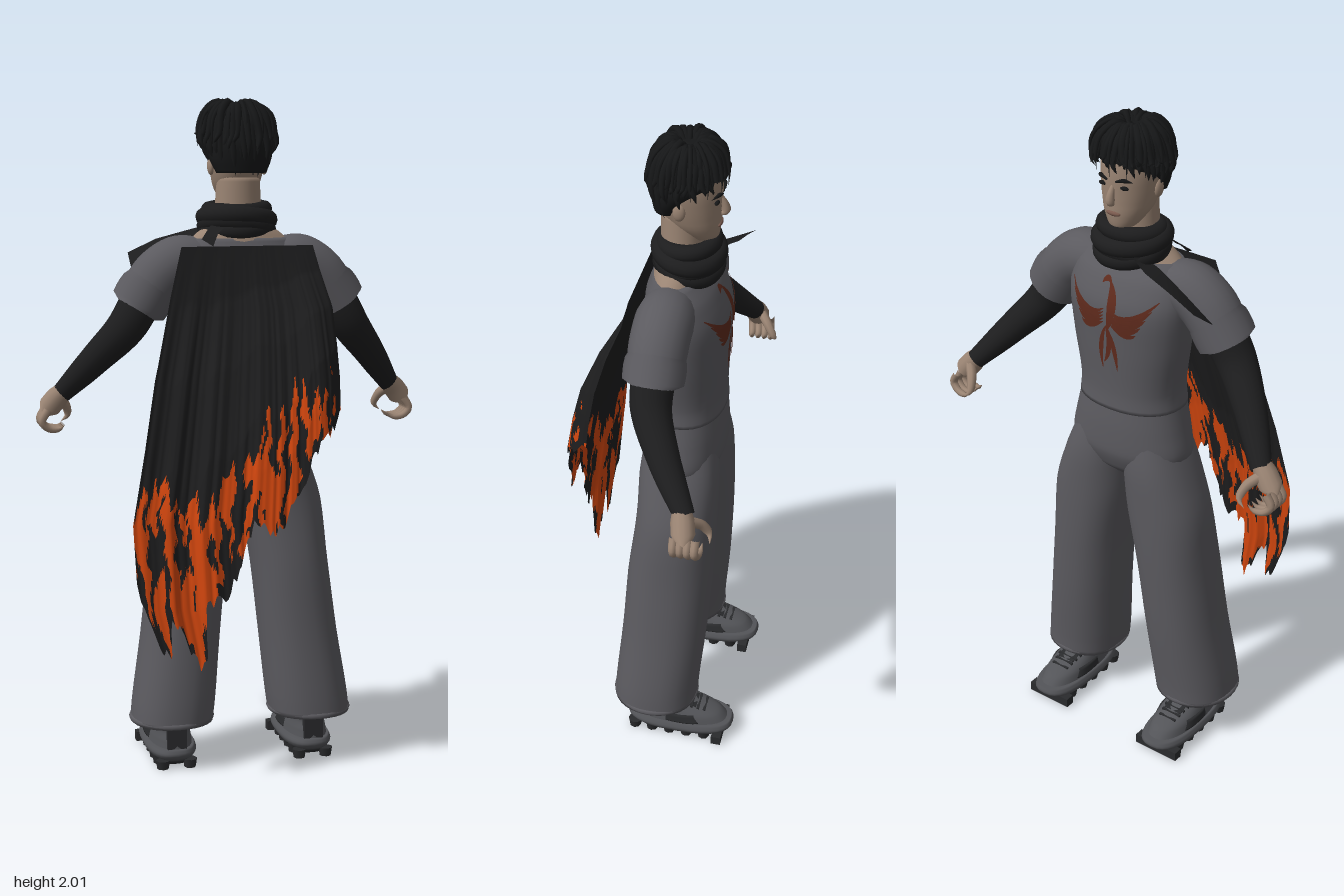
import * as THREE from 'three';

const V = (x, y, z) => new THREE.Vector3(x, y, z);
const lerp = THREE.MathUtils.lerp;
const mat = (name, color, side = THREE.FrontSide) => {
  const m = new THREE.MeshStandardMaterial({ color, side });
  m.name = name;
  return m;
};

function buildGeometry(pos, idx) {
  const g = new THREE.BufferGeometry();
  g.setAttribute('position', new THREE.Float32BufferAttribute(pos, 3));
  g.setIndex(idx);
  g.computeVertexNormals();
  return g;
}

// Closed body through elliptical sections [y, cx, cz, rx, rz], bottom to top; p < 1 squares the outline
function loft(sections, p = 1, rows = 24, seg = 32) {
  const centre = new THREE.CatmullRomCurve3(sections.map(s => V(s[1], s[0], s[2])));
  const radius = new THREE.CatmullRomCurve3(sections.map(s => V(s[3], s[4], 0)));
  const pos = [], idx = [], pw = v => Math.sign(v) * Math.abs(v) ** p;
  for (let i = -1; i <= rows + 1; i++) {
    const t = Math.min(1, Math.max(0, i / rows)), k = i < 0 || i > rows ? 0 : 1;
    const c = centre.getPoint(t), r = radius.getPoint(t);
    for (let j = 0; j < seg; j++) {
      const a = j / seg * Math.PI * 2;
      pos.push(c.x + k * r.x * pw(Math.cos(a)), c.y, c.z + k * r.y * pw(Math.sin(a)));
      if (i <= rows) {
        const o = (i + 1) * seg, q = o + (j + 1) % seg;
        idx.push(o + j, o + seg + j, q, q, o + seg + j, q + seg);
      }
    }
  }
  return buildGeometry(pos, idx);
}

// Tube along a curve whose radius follows a short list
function limb(points, radii, steps = 16, seg = 14) {
  const path = new THREE.CatmullRomCurve3(points.map(p => V(...p)));
  const g = new THREE.TubeGeometry(path, steps, 1, seg), pos = g.attributes.position;
  for (let i = 0; i <= steps; i++) {
    const f = i / steps * (radii.length - 1), k = Math.min(radii.length - 2, Math.floor(f));
    const r = lerp(radii[k], radii[k + 1], f - k), c = path.getPointAt(i / steps);
    for (let j = 0; j <= seg; j++) {
      const n = i * (seg + 1) + j, v = V().fromBufferAttribute(pos, n).sub(c).multiplyScalar(r).add(c);
      pos.setXYZ(n, v.x, v.y, v.z);
    }
  }
  return g;
}

// Thin sheet between two edges
function strip(a, b) {
  const pos = [], idx = [];
  a.forEach((p, i) => {
    pos.push(...p, ...b[i]);
    if (i) idx.push(2 * i - 2, 2 * i - 1, 2 * i, 2 * i, 2 * i - 1, 2 * i + 1);
  });
  return buildGeometry(pos, idx);
}

const hash = (x, y) => { const s = Math.sin(x * 127.1 + y * 311.7) * 43758.5453; return s - Math.floor(s); };
function noise(x, y) {
  const i = Math.floor(x), j = Math.floor(y), u = x - i, v = y - j;
  return lerp(lerp(hash(i, j), hash(i + 1, j), u), lerp(hash(i, j + 1), hash(i + 1, j + 1), u), v);
}
// Piecewise linear lookup in [x, value] pairs
function look(table, x) {
  let i = 1;
  while (i < table.length - 1 && x > table[i][0]) i++;
  const [a, b] = [table[i - 1], table[i]];
  return lerp(a[1], b[1], Math.min(1, Math.max(0, (x - a[0]) / (b[0] - a[0]))));
}

// Swept cape with a torn hem; streaky cells above the hem take the flame colour
function capeGeometry() {
  const left = [[0.4, -0.33], [0.55, -0.365], [0.8, -0.375], [1.2, -0.295], [1.58, -0.195]];
  const right = [[1.2, 0.255], [1.4, 0.245], [1.58, 0.2]];
  const hem = [[-0.375, 0.62], [-0.335, 0.44], [-0.31, 0.41], [-0.285, 0.52], [-0.225, 0.38], [-0.2, 0.39],
    [-0.18, 0.55], [-0.115, 0.58], [-0.075, 0.65], [-0.05, 0.77], [0, 0.8], [0.025, 0.74], [0.08, 0.83],
    [0.13, 0.92], [0.15, 1.0], [0.2, 1.03], [0.255, 1.12]];
  const flameTop = [[-0.375, 0.89], [-0.25, 0.87], [-0.17, 0.83], [-0.1, 0.96], [0, 1.08], [0.1, 1.16], [0.255, 1.19]];
  const sweep = [[0, 0], [0.15, 0.13], [0.35, 0.46], [0.6, 0.76], [0.8, 0.9], [1, 1]];
  const nu = 140, nv = 80, pos = [], plain = [], flame = [];
  for (let i = 0; i <= nu; i++) {
    const u = i / nu, x0 = lerp(-0.375, 0.255, u);
    const end = look(hem, x0) + 0.05 * (noise(u * 70, 3) - 0.35);
    const top = look(flameTop, x0) + 0.15 * (noise(u * 44, 8) - 0.5);
    const reach = 0.222 - (u < 0.5 ? 0.045 : 0.11) * Math.abs(2 * u - 1) ** 4 + 0.012 * (noise(u * 50, 5) - 0.5);
    for (let j = 0; j <= nv; j++) {
      const v = j / nv, y = lerp(1.58, end, v);
      pos.push(lerp(look(left, y), look(right, y), u), y,
        0.052 + reach * look(sweep, v) + 0.005 * Math.sin(u * 22) * v);
      if (i < nu && j < nv) {
        const a = i * (nv + 1) + j, b = a + nv + 1;
        const streak = noise(u * 46 + 1.5 * noise(y * 18, 1), y * 7);
        const lit = y < top && streak > (y - end < 0.04 ? 0.55 : 0.36);
        (lit ? flame : plain).push(a, a + 1, b, b, a + 1, b + 1);
      }
    }
  }
  const g = buildGeometry(pos, [...plain, ...flame]);
  g.addGroup(0, plain.length, 0);
  g.addGroup(plain.length, flame.length, 1);
  return g;
}

export function createModel() {
  const root = new THREE.Group();
  const D = THREE.DoubleSide;
  const grey = mat('grey cloth', 0x5b5a5f, D), black = mat('black cloth', 0x1d1d1e, D);
  const orange = mat('flame orange', 0xd2460e, D), skin = mat('skin', 0x9a8473);
  const hair = mat('hair', 0x161718, D), shoe = mat('shoe grey', 0x535458);
  const sole = mat('dark rubber', 0x2a2b2d), rust = mat('rust print', 0x5e2a1c, D), lip = mat('lips', 0x7a5a4e);
  const add = (name, geometry, material) => {
    const m = new THREE.Mesh(geometry, material);
    m.name = name;
    root.add(m);
    return m;
  };
  const ball = (name, m, [x, y, z], [a, b, c]) =>
    add(name, new THREE.SphereGeometry(1, 18, 12).scale(a, b, c).translate(x, y, z), m);
  const box = (name, m, [x, y, z], [a, b, c], rx = 0) =>
    add(name, new THREE.BoxGeometry(a, b, c).rotateX(rx).translate(x, y, z), m);

  // Shirt and trouser top
  const shirt = add('shirt', loft([[1.145, 0, -0.07, 0.168, 0.123], [1.2, 0, -0.07, 0.163, 0.12],
    [1.35, 0, -0.075, 0.185, 0.12], [1.47, 0, -0.075, 0.198, 0.12], [1.55, 0, -0.062, 0.19, 0.1],
    [1.6, 0, -0.05, 0.15, 0.068]], 0.9), grey);
  add('trouserTop', loft([[0.9, 0, -0.075, 0.06, 0.06], [0.94, 0, -0.075, 0.15, 0.1],
    [1.0, 0, -0.075, 0.197, 0.12], [1.08, 0, -0.072, 0.182, 0.122], [1.17, 0, -0.07, 0.16, 0.115]], 0.9), grey);

  // Bird print laid on the chest
  const ray = new THREE.Raycaster();
  const onChest = (x, y) => {
    ray.set(V(x, y, -1), V(0, 0, 1));
    const hit = ray.intersectObject(shirt)[0];
    return [x, y, (hit ? hit.point.z : -0.15) - 0.004];
  };
  const stroke = (a, mid, b, w) => {
    const c = new THREE.QuadraticBezierCurve(...[a, mid, b].map(p => new THREE.Vector2(...p)));
    const l = [], r = [];
    for (let i = 0; i <= 8; i++) {
      const p = c.getPoint(i / 8), t = c.getTangent(i / 8), k = w * (0.15 + Math.sin(Math.PI * i / 8));
      l.push(onChest(p.x - t.y * k, p.y + t.x * k));
      r.push(onChest(p.x + t.y * k, p.y - t.x * k));
    }
    add('chestPrint', strip(l, r), rust);
  };
  stroke([0.005, 1.545], [-0.035, 1.49], [0, 1.4], 0.013);
  stroke([0.03, 1.535], [0.02, 1.56], [0, 1.54], 0.007);
  for (const s of [-1, 1]) {
    for (let i = 0; i < 5; i++)
      stroke([s * 0.01, 1.47 - i * 0.01], [s * 0.07, 1.42 - i * 0.008], [s * (0.15 - i * 0.014), 1.515 - i * 0.026], 0.008);
    stroke([0, 1.42], [s * 0.03, 1.36], [s * 0.025 - 0.01, 1.28], 0.007);
  }
  stroke([0, 1.42], [-0.02, 1.34], [0.01, 1.3], 0.007);

  for (const s of [-1, 1]) {
    // Wide trouser leg with rolled hem
    add('trouserLeg', loft([[0.14, 0.217, -0.03, 0.125, 0.13], [0.2, 0.21, -0.033, 0.126, 0.13],
      [0.4, 0.185, -0.05, 0.12, 0.13], [0.6, 0.162, -0.061, 0.118, 0.129], [0.8, 0.135, -0.074, 0.125, 0.12],
      [0.95, 0.105, -0.075, 0.105, 0.118], [1.1, 0.075, -0.072, 0.07, 0.095]]
      .map(([y, x, ...r]) => [y, x * s, ...r]), 0.9), grey);
    add('trouserCuff', new THREE.TorusGeometry(0.12, 0.01, 8, 32).rotateX(Math.PI / 2)
      .scale(1, 1, 1.03).translate(s * 0.217, 0.148, -0.03), grey);

    // Shoe with lugged sole
    const x = s * 0.215;
    add('shoeSole', loft([[0.03, x, -0.11, 0.072, 0.16], [0.045, x, -0.11, 0.078, 0.17],
      [0.062, x, -0.11, 0.07, 0.163]], 0.75, 6), shoe);
    add('outsole', loft([[0.012, x, -0.09, 0.055, 0.125], [0.032, x, -0.1, 0.066, 0.15]], 0.75, 2), sole);
    add('shoeUpper', loft([[0.055, x, -0.108, 0.068, 0.158], [0.085, x, -0.095, 0.062, 0.14],
      [0.11, x, -0.065, 0.055, 0.1], [0.135, x, -0.03, 0.05, 0.068], [0.16, x, -0.015, 0.046, 0.05]], 0.85), shoe);
    add('sidePanel', loft([[0.066, x, -0.12, 0.07, 0.085], [0.092, x, -0.11, 0.064, 0.07]], 0.7, 4), sole);
    box('heelPanel', sole, [x, 0.1, 0.037], [0.06, 0.09, 0.02]);
    box('shoeTongue', sole, [x, 0.117, -0.125], [0.06, 0.01, 0.08], -0.3);
    box('toeLug', sole, [x, 0.018, -0.238], [0.152, 0.03, 0.03]);
    for (let i = 0; i < 5; i++) {
      for (const e of [-1, 1])
        add('soleLug', new THREE.CylinderGeometry(0.022, 0.018, 0.026, 8)
          .translate(x + e * 0.042, 0.013, 0.032 - i * 0.056), sole);
      box('lace', sole, [x, 0.122 - i * 0.0065, -0.11 - i * 0.02], [0.085 - i * 0.006, 0.012, 0.008]);
    }

    // Short sleeve, cuff and black under-sleeve
    const side = pts => pts.map(([a, b, c]) => [a * s, b, c]);
    add('sleeve', limb(side([[0.1, 1.52, -0.05], [0.175, 1.528, -0.048], [0.235, 1.495, -0.045], [0.3, 1.41, -0.043]]),
      [0.07, 0.083, 0.083, 0.077], 20, 20), grey);
    add('sleeveCuff', limb(side([[0.262, 1.472, -0.044], [0.316, 1.387, -0.043]]),
      [0.076, 0.086, 0.088, 0.088, 0.086, 0.05], 15, 20), grey);
    add('underSleeve', limb(side([[0.28, 1.45, -0.045], [0.34, 1.345, -0.045], [0.42, 1.25, -0.095], [0.52, 1.13, -0.18]]),
      [0.064, 0.06, 0.051, 0.042, 0.03], 24, 16), black);

    // Half-closed hand
    add('palm', limb(side([[0.505, 1.15, -0.168], [0.54, 1.11, -0.18], [0.57, 1.07, -0.188], [0.577, 1.055, -0.19]]),
      [0.024, 0.034, 0.034, 0], 14), skin);
    for (let i = 0; i < 4; i++) {
      const z = -0.16 - i * 0.02;
      add('finger', limb(side([[0.562, 1.085, z], [0.58, 1.05, z], [0.56, 1.027, z - 0.004], [0.528, 1.024, z - 0.008],
        [0.51, 1.038, z - 0.01]]), [0.013, 0.012, 0.011, 0.01, 0], 14, 8), skin);
    }
    add('thumb', limb(side([[0.53, 1.12, -0.195], [0.5, 1.09, -0.225], [0.492, 1.055, -0.245], [0.512, 1.035, -0.25]]),
      [0.016, 0.015, 0.012, 0], 12, 8), skin);

    // Face details and ear
    ball('ear', skin, [s * 0.081, 1.81, -0.062], [0.011, 0.027, 0.018]);
    ball('eye', hair, [s * 0.036, 1.828, -0.157], [0.014, 0.006, 0.007]);
    add('eyebrow', limb([[s * 0.015, 1.846, -0.168], [s * 0.037, 1.853, -0.164], [s * 0.06, 1.845, -0.146]],
      [0.003, 0.006, 0], 8, 6), hair);
  }

  // Neck, shoulder skin and head
  add('neck', loft([[1.575, 0, -0.05, 0.17, 0.077], [1.61, 0, -0.05, 0.132, 0.066], [1.66, 0, -0.056, 0.072, 0.062],
    [1.78, 0, -0.056, 0.064, 0.06]]), skin);
  add('head', loft([[1.695, 0, -0.12, 0.02, 0.025], [1.706, 0, -0.113, 0.04, 0.044], [1.75, 0, -0.088, 0.068, 0.076],
    [1.8, 0, -0.075, 0.08, 0.09], [1.86, 0, -0.068, 0.086, 0.098], [1.92, 0, -0.068, 0.08, 0.092],
    [1.955, 0, -0.07, 0.05, 0.06], [1.965, 0, -0.07, 0.01, 0.01]]), skin);
  add('nose', limb([[0, 1.83, -0.16], [0, 1.805, -0.172], [0, 1.785, -0.174], [0, 1.775, -0.162]],
    [0.006, 0.01, 0.014, 0.006], 10, 10), skin);
  ball('mouth', lip, [0, 1.748, -0.16], [0.024, 0.008, 0.008]);

  // Hair cap and layers of uneven locks falling from the crown
  add('hairCap', loft([[1.79, 0, -0.02, 0.074, 0.044], [1.83, 0, -0.032, 0.092, 0.064], [1.88, 0, -0.06, 0.098, 0.096],
    [1.93, 0, -0.07, 0.09, 0.097], [1.968, 0, -0.07, 0.06, 0.07], [1.98, 0, -0.07, 0.025, 0.025]]), hair);
  for (let layer = 0; layer < 3; layer++) {
    const count = 34 - layer * 8;
    for (let i = 0; i < count; i++) {
      const r = hash(i, layer + 5), q = hash(i + 9, layer + 2);
      const a = (i + layer * 0.5 + q * 0.5) / count * Math.PI * 2, back = (Math.sin(a) + 1) / 2;
      const low = lerp(1.86, 1.77, back) + r * 0.05 + layer * 0.02, out = 0.094 + layer * 0.007 + q * 0.012;
      const at = (k, y, turn = 0) => [Math.cos(a + turn) * k, y, -0.073 + Math.sin(a + turn) * k * 0.95];
      add('hairLock', limb([at(0.012, 1.955), at(0.035 + r * 0.02, 1.968 + layer * 0.008 + q * 0.014),
        at(out * 0.82, 1.945 + r * 0.02, 0.1 * (q - 0.5)), at(out, 1.9), at(out + 0.004, (low + 1.9) / 2, 0.2 * (r - 0.5)),
        at(out - 0.004 - back * 0.008, low, 0.35 * (r - 0.5))], [0.006, 0.01, 0.012, 0.011, 0.009, 0], 14, 7), hair);
    }
  }
  // Loose wisps standing off the sides
  for (let i = 0; i < 14; i++) {
    const a = i / 14 * Math.PI * 2 + 0.2, r = hash(i, 21), c = Math.cos(a), s = Math.sin(a);
    const at = (k, y) => [c * k, y, -0.073 + s * k * 0.92];
    add('hairWisp', limb([at(0.02, 1.96), at(0.05, 1.988 + r * 0.006), at(0.1, 1.965), at(0.117, 1.915 + r * 0.02),
      at(0.116, 1.86)], [0.005, 0.007, 0.006, 0.004, 0], 14, 6), hair);
  }

  // Wound scarf, its loose end over the right shoulder and a fold at the back
  [[1.682, 0.08, 0.024, 0.05], [1.655, 0.092, 0.028, -0.15], [1.625, 0.09, 0.027, -0.28], [1.625, 0.09, 0.024, 0.08]]
    .forEach(([y, r, t, tilt]) => add('scarfWrap', new THREE.TorusGeometry(r, t, 12, 40).rotateX(Math.PI / 2)
      .scale(1.03, 1, 0.9).rotateX(tilt).rotateZ(tilt * 0.5).translate(0, y, -0.075), black));
  add('scarfEnd', strip(
    [[-0.06, 1.635, -0.16], [-0.13, 1.615, -0.19], [-0.22, 1.59, -0.205], [-0.306, 1.55, -0.208]],
    [[-0.06, 1.61, -0.1], [-0.13, 1.6, -0.12], [-0.22, 1.56, -0.135], [-0.306, 1.48, -0.115]]), black);
  add('scarfShoulderFold', strip(
    [[-0.07, 1.66, -0.03], [-0.1, 1.63, -0.01], [-0.13, 1.6, 0.03]],
    [[-0.06, 1.63, 0.01], [-0.08, 1.615, 0.025], [-0.1, 1.58, 0.05]]), black);

  add('cape', capeGeometry(), [black, orange]);
  return root;
}
